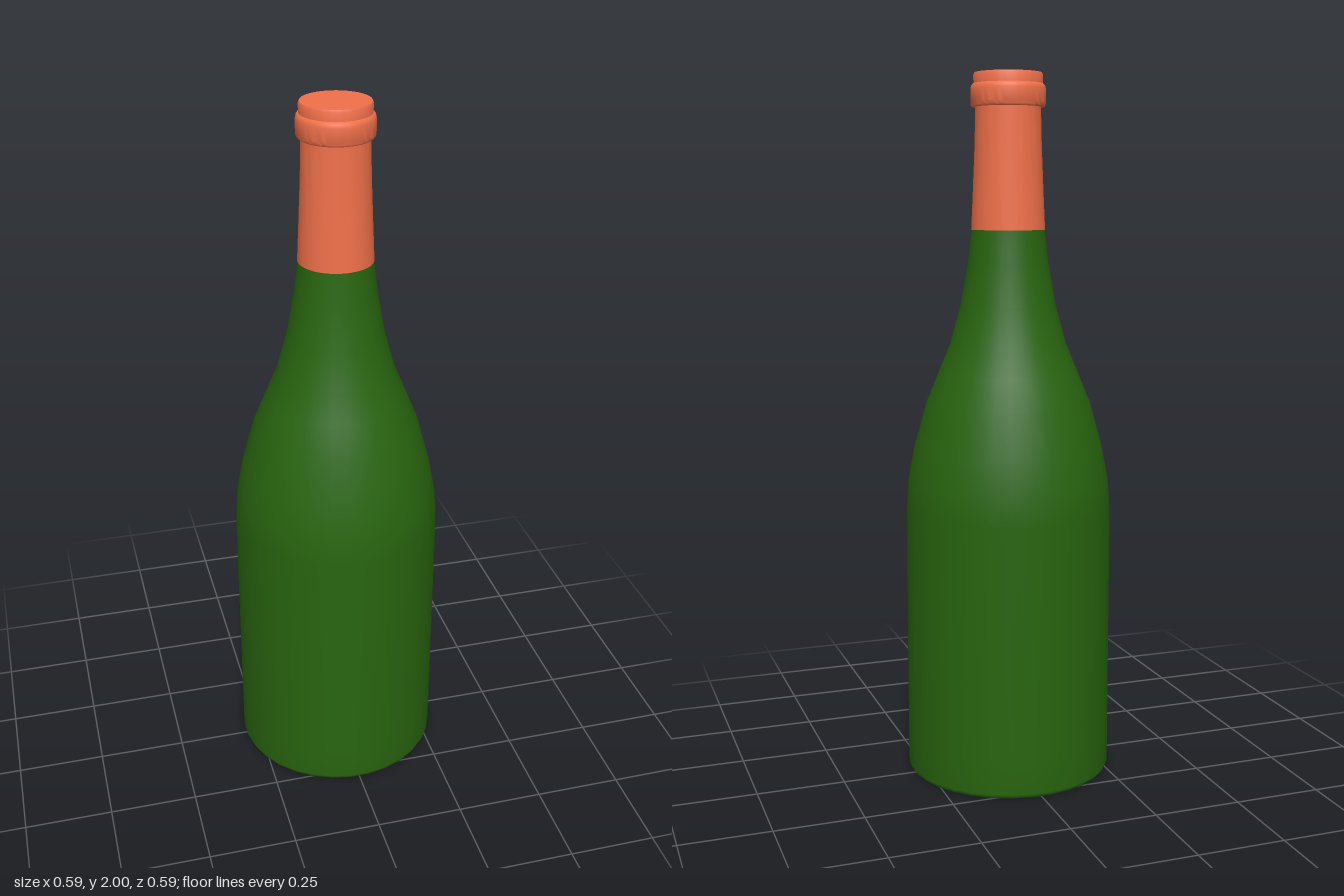
import * as THREE from 'three';
import { toCreasedNormals } from 'three/addons/utils/BufferGeometryUtils.js';

// Revolve a list of [radius, height] pairs around y
function revolve(profile, segments) {
  const points = profile.map(([r, y]) => new THREE.Vector2(r, y));
  return new THREE.LatheGeometry(points, segments, Math.PI / segments);
}

function part(name, geometry, color) {
  const mesh = new THREE.Mesh(geometry, new THREE.MeshStandardMaterial({ color }));
  mesh.name = name;
  return mesh;
}

export function createModel() {
  const bottle = new THREE.Group();
  bottle.name = 'bottle';

  // Glass: hollow dome underneath, rounded foot, straight wall, sloping shoulder, neck
  const glass = revolve([
    [0, 0.1], [0.08, 0.093], [0.15, 0.075], [0.21, 0.045], [0.245, 0.012],
    [0.26, 0.002], [0.275, 0], [0.29, 0.004], [0.295, 0.015], [0.295, 0.1],
    [0.295, 0.78], [0.288, 0.86], [0.271, 0.95], [0.235, 1.08], [0.2, 1.165],
    [0.165, 1.25], [0.135, 1.36], [0.114, 1.48], [0.103, 1.575],
  ], 32);
  bottle.add(part('glassBody', glass, 0x28640f));

  // Foil sleeve on the neck, with its flat lid
  const sleeve = revolve([
    [0.1, 1.57], [0.104, 1.57], [0.099, 1.68], [0.094, 1.8], [0.091, 1.92],
  ], 64);
  bottle.add(part('foilSleeve', toCreasedNormals(sleeve, 0.6), 0xf0704a));

  // Raised lip ring with softened edges
  const ring = revolve([
    [0.088, 1.907], [0.1, 1.907], [0.104, 1.912], [0.105, 1.92],
    [0.105, 1.955], [0.103, 1.964], [0.098, 1.97], [0.09, 1.972],
  ], 64);
  bottle.add(part('lipRing', toCreasedNormals(ring, 0.8), 0xf0704a));

  const lid = revolve([
    [0.096, 1.96], [0.097, 1.994], [0.094, 2], [0, 2],
  ], 64);
  bottle.add(part('foilLid', toCreasedNormals(lid, 0.6), 0xf0704a));

  return bottle;
}
